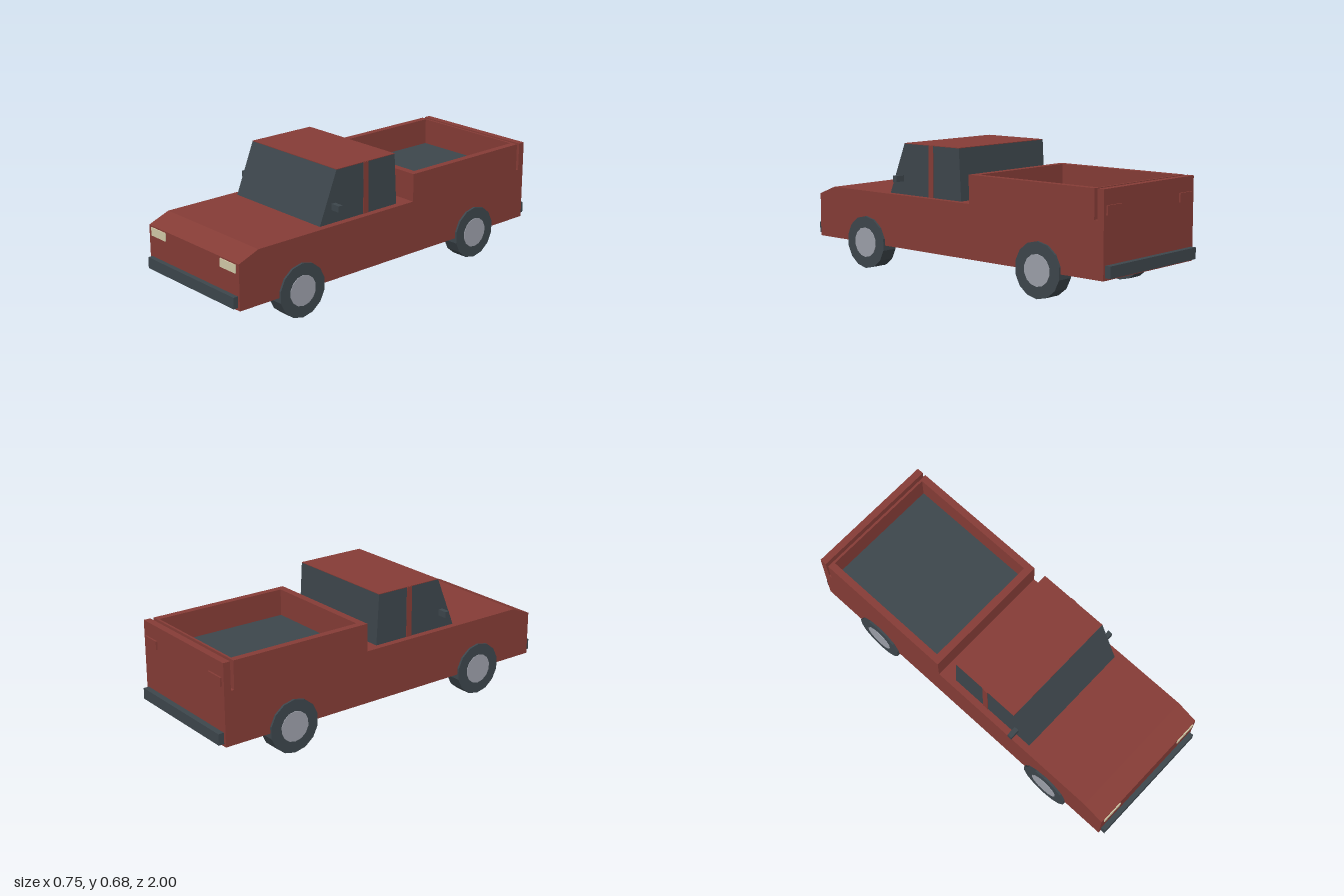
import * as THREE from 'three';

const mat = (name, color) => {
  const m = new THREE.MeshStandardMaterial({ color });
  m.name = name;
  return m;
};

export function createModel() {
  const truck = new THREE.Group();
  truck.name = 'pickupTruck';
  const red = mat('bodyRed', 0x853c36);
  const dark = mat('charcoal', 0x3d464c);
  const metal = mat('hubGrey', 0x9c9fa9);
  const cream = mat('headlightCream', 0xd3caa8);

  const add = (name, geometry, material, parent = truck) => {
    const mesh = new THREE.Mesh(geometry, material);
    mesh.name = name;
    parent.add(mesh);
    return mesh;
  };
  // Box given by its limits on each axis
  const box = (name, material, [x0, x1], [y0, y1], [z0, z1]) => {
    const g = new THREE.BoxGeometry(x1 - x0, y1 - y0, z1 - z0);
    g.translate((x0 + x1) / 2, (y0 + y1) / 2, (z0 + z1) / 2);
    return add(name, g, material);
  };
  // Side profile of [z, y] points, extruded across the full width
  const profile = (name, material, points, width) => {
    const shape = new THREE.Shape(points.map(([z, y]) => new THREE.Vector2(z, y)));
    const g = new THREE.ExtrudeGeometry(shape, { depth: width, bevelEnabled: false });
    g.rotateY(-Math.PI / 2).translate(width / 2, 0, 0);
    return add(name, g, material);
  };

  // Lower body with the sloped nose
  profile('body', red, [[-0.97, 0.135], [0.975, 0.135], [0.975, 0.367], [0.86, 0.412], [-0.97, 0.412]], 0.714);

  // Glazed cab with a painted roof and door pillars
  profile('cabGlass', dark, [[-0.05, 0.412], [0.457, 0.412], [0.35, 0.676], [-0.035, 0.676]], 0.644);
  box('roof', red, [-0.322, 0.322], [0.676, 0.679], [-0.035, 0.349]);

  // Open cargo bed: a rectangular ring of walls, then the floor plate
  const rect = (path, x, z0, z1) => {
    path.moveTo(-x, -z1);
    path.lineTo(x, -z1);
    path.lineTo(x, -z0);
    path.lineTo(-x, -z0);
    path.closePath();
    return path;
  };
  const ring = rect(new THREE.Shape(), 0.357, -0.915, -0.135);
  ring.holes.push(rect(new THREE.Path(), 0.32, -0.903, -0.175));
  const walls = new THREE.ExtrudeGeometry(ring, { depth: 0.145, bevelEnabled: false });
  walls.rotateX(-Math.PI / 2).translate(0, 0.412, 0);
  add('bedWalls', walls, red);
  box('bedFloor', dark, [-0.32, 0.32], [0.411, 0.416], [-0.903, -0.175]);
  box('tailgate', red, [-0.357, 0.357], [0.412, 0.557], [-0.97, -0.933]);

  // Bumpers
  box('frontBumper', dark, [-0.343, 0.343], [0.148, 0.206], [0.97, 1]);
  box('rearBumper', dark, [-0.343, 0.343], [0.148, 0.206], [-1, -0.965]);

  // Paired details
  for (const s of [-1, 1]) {
    const side = s > 0 ? 'left' : 'right';
    const span = (a, b) => (s > 0 ? [a, b] : [-b, -a]);
    box(side + 'Pillar', red, span(0.32, 0.325), [0.412, 0.677], [0.143, 0.175]);
    box(side + 'Mirror', dark, span(0.315, 0.375), [0.48, 0.512], [0.358, 0.383]);
    box(side + 'Headlight', cream, span(0.218, 0.335), [0.317, 0.36], [0.972, 0.98]);
    box(side + 'TailLight', red, span(0.235, 0.34), [0.437, 0.482], [-0.979, -0.968]);

    // Wheels: faceted tyre with a hub showing on both faces
    for (const [end, z] of [['Front', 0.605], ['Rear', -0.585]]) {
      const wheel = new THREE.Group();
      wheel.name = side + end + 'Wheel';
      wheel.position.set(s * 0.324, 0.139, z);
      const disc = (r, w) =>
        new THREE.CylinderGeometry(r, r, w, 14, 1, false, Math.PI / 2).rotateZ(Math.PI / 2).toNonIndexed();
      for (const [name, r, w, m] of [['tyre', 0.139, 0.088, dark], ['hub', 0.079, 0.094, metal]]) {
        const g = disc(r, w);
        g.computeVertexNormals();
        add(name, g, m, wheel);
      }
      truck.add(wheel);
    }
  }
  return truck;
}
